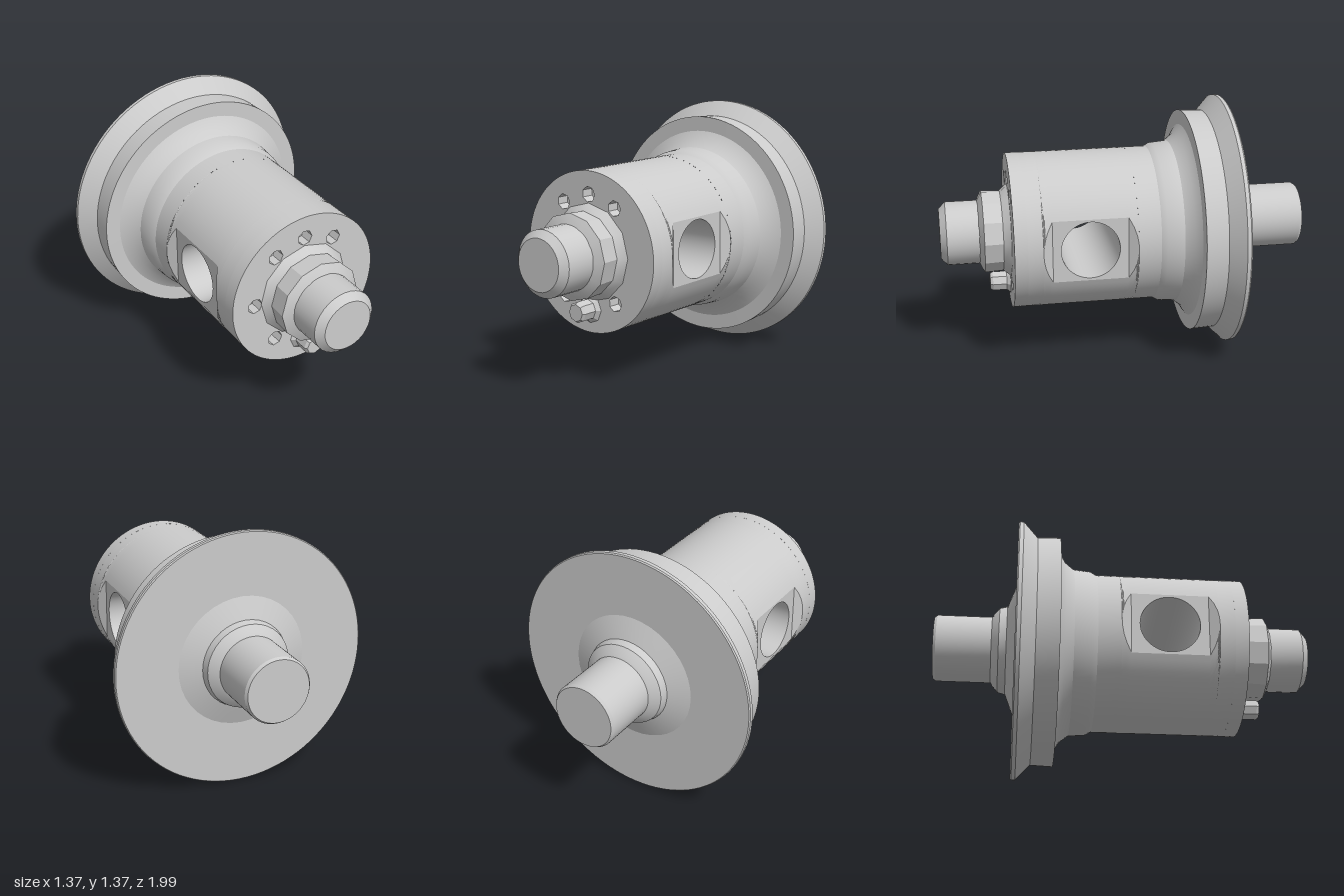
import * as THREE from 'three';
import { toCreasedNormals } from 'three/addons/utils/BufferGeometryUtils.js';
import { ParametricGeometry } from 'three/addons/geometries/ParametricGeometry.js';

const material = new THREE.MeshStandardMaterial({ color: 0xcccccc });
const thin = new THREE.MeshStandardMaterial({ color: 0xcccccc, side: THREE.DoubleSide });

function part(parent, name, geometry, mat = material) {
  const mesh = new THREE.Mesh(toCreasedNormals(geometry, 0.5), mat);
  mesh.name = name;
  parent.add(mesh);
  return mesh;
}

// Profile of [radius, position along z], turned about the z axis
function turned(profile, sides = 64) {
  const points = profile.map(([r, z]) => new THREE.Vector2(r, z));
  return new THREE.LatheGeometry(points, sides).rotateX(Math.PI / 2);
}

function circlePath(PathType, x, y, r) {
  return new PathType().absarc(x, y, r, 0, Math.PI * 2, false);
}

const R = 0.42;              // drum radius
const FLAT = 0.385;          // distance of the side flats from the axis
const HOLE = 0.155;          // cross bore radius
const HOLE_Z = 0.25;
const FACE = 0.65;           // front face of the drum

// Sections through the milled flats: shallow ramps at both ends
const rows = [0, 0.002, 0.01, 0.025, 0.05, 0.45, 0.475, 0.49, 0.498, 0.5];
const flatAt = (z) => R - (R - FLAT) * Math.min(1, z / 0.05, (0.5 - z) / 0.05);

function rowGrid(first, last, columns, place) {
  const n = last - first;
  return new ParametricGeometry((u, v, target) => {
    const f = Math.min(Math.max(v * n, 0), n);
    const i = Math.min(Math.floor(f), n - 1);
    const z = THREE.MathUtils.lerp(rows[first + i], rows[first + i + 1], f - i);
    const x = Math.min(flatAt(z), R);
    place(u, x, z, target);
  }, columns, n);
}

function buildDrumSide() {
  const side = new THREE.Group();
  side.name = 'drumSide';
  // Curved wall between the two flats
  part(side, 'drumWall', rowGrid(0, rows.length - 1, 32, (u, x, z, t) => {
    const a = Math.acos(Math.min(1, x / R));
    const phi = THREE.MathUtils.lerp(a, Math.PI - a, u);
    t.set(R * Math.cos(phi), R * Math.sin(phi), z);
  }), thin);
  // Sloping run-outs of the flat
  for (const first of [0, 5]) {
    part(side, 'flatRamp', rowGrid(first, first + 4, 2, (u, x, z, t) => {
      t.set(x, (2 * u - 1) * Math.sqrt(Math.max(0, R * R - x * x)), z);
    }), thin);
  }
  // Flat pierced by the cross bore
  const h = Math.sqrt(R * R - FLAT * FLAT);
  const shape = new THREE.Shape();
  shape.moveTo(-0.45, -h).lineTo(-0.05, -h).lineTo(-0.05, h).lineTo(-0.45, h);
  shape.holes.push(circlePath(THREE.Path, -HOLE_Z, 0, HOLE));
  const flat = new THREE.ShapeGeometry(shape, 24).rotateY(Math.PI / 2);
  part(side, 'sideFlat', flat.translate(FLAT, 0, 0), thin);
  return side;
}

export function createModel() {
  const model = new THREE.Group();
  model.name = 'flangedRoller';
  const axle = new THREE.Group();
  axle.name = 'axleAssembly';
  axle.position.set(-0.116, 0.685, -0.031);
  axle.rotation.y = -Math.PI / 12;
  model.add(axle);

  // Rear shaft and its stepped boss
  part(axle, 'rearShaft', turned([
    [0, -0.96], [0.165, -0.96], [0.175, -0.945], [0.175, -0.6]]));
  part(axle, 'rearBoss', turned([
    [0.172, -0.66], [0.19, -0.65], [0.225, -0.62], [0.235, -0.58],
    [0.27, -0.567], [0.35, -0.536]], 40));

  // Flanged wheel, fillet and collar
  part(axle, 'flangeWheel', turned([
    [0, -0.537], [0.68, -0.537], [0.685, -0.53], [0.685, -0.51], [0.605, -0.435],
    [0.61, -0.316], [0.53, -0.315], [0.48, -0.285], [0.445, -0.24],
    [0.437, -0.15], [R, -0.12], [R, 0]], 96));

  // Drum with two flats joined by the cross bore
  for (const turn of [0, Math.PI]) {
    const side = buildDrumSide();
    side.rotation.z = turn;
    axle.add(side);
  }
  const bore = new THREE.CylinderGeometry(HOLE, HOLE, FLAT * 2, 48, 1, true);
  part(axle, 'crossBore', bore.rotateZ(Math.PI / 2).translate(0, 0, HOLE_Z), thin);
  part(axle, 'drumFrontWall', turned([[R, 0.5], [R, 0.59]]), thin);

  // Front plate with small blind holes
  const plate = circlePath(THREE.Shape, 0, 0, R);
  const spots = [[-0.17, 0.245], [0, 0.3], [0.17, 0.245], [-0.29, 0], [-0.17, -0.245], [0.17, -0.245]];
  for (const [x, y] of spots) {
    const hole = new THREE.Path();
    for (let i = 0; i < 7; i++) {
      const a = (i / 7) * Math.PI * 2;
      const px = x + 0.041 * Math.cos(a), py = y + 0.041 * Math.sin(a);
      if (i) hole.lineTo(px, py); else hole.moveTo(px, py);
    }
    hole.closePath();
    plate.holes.push(hole);
  }
  const plateGeometry = new THREE.ExtrudeGeometry(plate, { depth: FACE - 0.58, bevelEnabled: false, curveSegments: 64 });
  part(axle, 'frontPlate', plateGeometry.translate(0, 0, 0.58));
  part(axle, 'holeFloor', new THREE.CircleGeometry(R - 0.01, 48).translate(0, 0, 0.583));

  // Locating pin
  part(axle, 'locatingPin', turned([
    [0.075, FACE], [0.055, 0.67], [0.055, 0.745], [0.045, 0.76], [0, 0.76]], 8).translate(0, -0.295, 0));

  // Faceted hub and chamfered front shaft
  part(axle, 'frontHub', turned([
    [0.255, FACE], [0.22, 0.69], [0.225, 0.79], [0.195, 0.805], [0.16, 0.82]], 12));
  part(axle, 'frontShaft', turned([
    [0.172, 0.75], [0.172, 0.985], [0.135, 1.02], [0, 1.02]], 32));

  return model;
}
